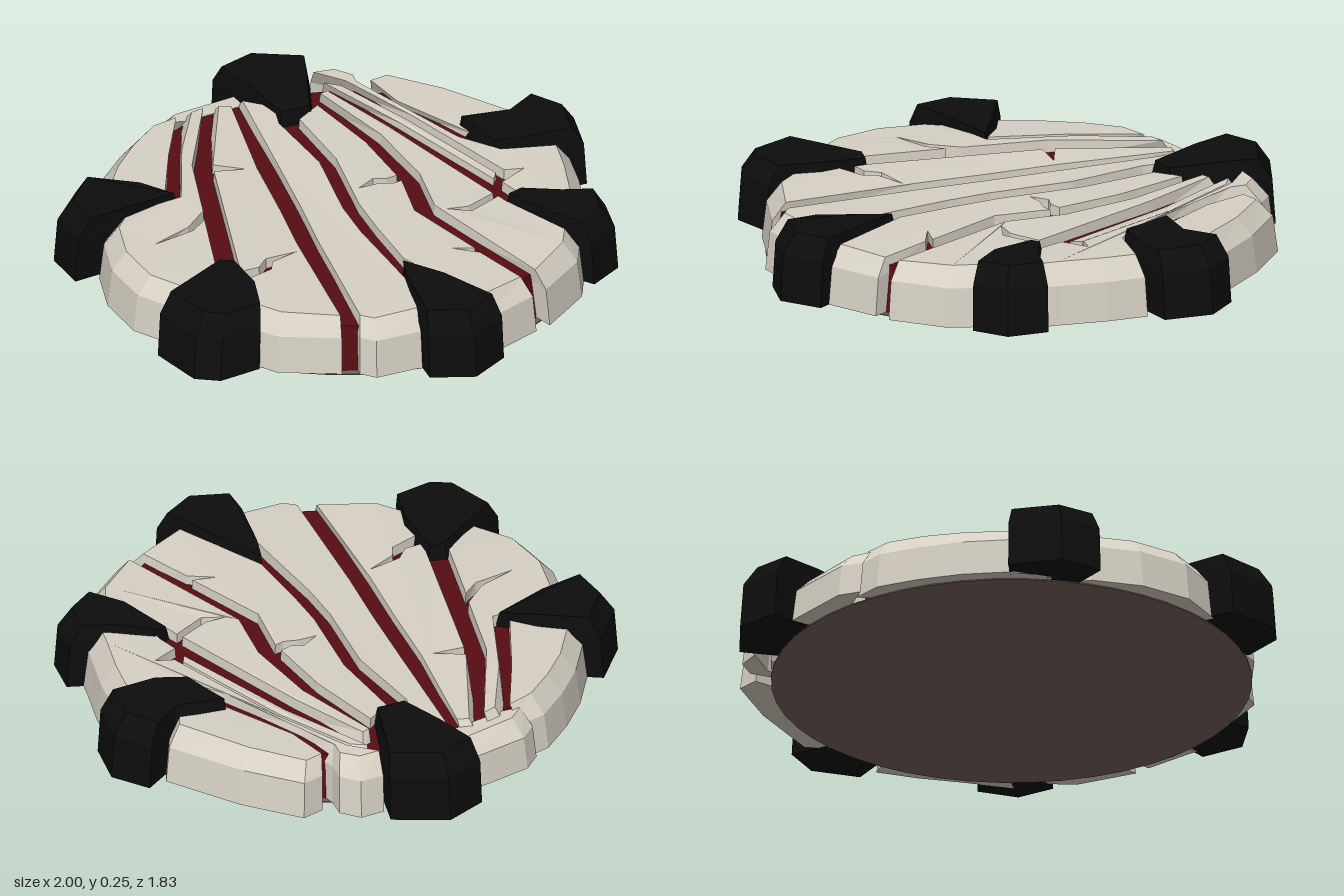
import * as THREE from 'three';

const mat = (name, color) => Object.assign(new THREE.MeshStandardMaterial({ color }), { name });

// Faceted stone from a plan outline (flat list of x, z pairs).
// The outer rim leans inward as it rises; inner edges get a narrow chamfer.
function stoneGeometry(flat, { height, rimLean, chamfer, shoulder, topRule }) {
  let outline = [];
  for (let i = 0; i < flat.length; i += 2) outline.push(new THREE.Vector2(flat[i], -flat[i + 1]));
  if (THREE.ShapeUtils.isClockWise(outline)) outline.reverse();
  const n = outline.length;

  const ring = (y, lean, inset) => outline.map((p, i) => {
    const a = outline[(i + n - 1) % n], b = outline[(i + 1) % n];
    const t = b.clone().sub(a).normalize();
    const rim = THREE.MathUtils.smoothstep(p.length(), 0.62, 0.8);
    const k = 1 - lean * rim;
    const x = p.x * k - t.y * inset, z = -(p.y * k + t.x * inset);
    return new THREE.Vector3(x, typeof y === 'function' ? y(x, z) : y, z);
  });
  const rings = [
    ring(0.004, 0, 0),
    ring(shoulder, rimLean * 0.25, 0),
    ring((x, z) => height + topRule(x, z), rimLean, chamfer),
  ];

  const pos = [];
  const tri = (...v) => v.forEach((p) => pos.push(p.x, p.y, p.z));
  for (let r = 0; r < 2; r++) {
    for (let i = 0; i < n; i++) {
      const j = (i + 1) % n, lo = rings[r], hi = rings[r + 1];
      tri(lo[i], lo[j], hi[j]);
      tri(lo[i], hi[j], hi[i]);
    }
  }
  // Caps, with the winding checked for each triangle
  const cap = (pts, up) => {
    const plan = pts.map((p) => new THREE.Vector2(p.x, -p.z));
    for (const [a, b, c] of THREE.ShapeUtils.triangulateShape(plan, [])) {
      const ccw = THREE.ShapeUtils.area([plan[a], plan[b], plan[c]]) > 0;
      if (ccw === up) tri(pts[a], pts[b], pts[c]);
      else tri(pts[a], pts[c], pts[b]);
    }
  };
  cap(rings[2], true);
  cap(rings[0], false);

  const g = new THREE.BufferGeometry();
  g.setAttribute('position', new THREE.Float32BufferAttribute(pos, 3));
  g.computeVertexNormals();
  return g;
}

export function createModel() {
  const model = new THREE.Group();
  model.name = 'crackedStoneDisc';
  const cream = mat('creamStone', 0xd6d0c4);
  const red = mat('darkRedCore', 0x560d12);
  const black = mat('blackRock', 0x0d0d0d);
  const brown = mat('brownBase', 0x75605a);

  const add = (name, geometry, material) => {
    const m = new THREE.Mesh(geometry, material);
    m.name = name;
    model.add(m);
    return m;
  };

  // Underside and the red core that shows through the gaps
  add('base', new THREE.CylinderGeometry(0.84, 0.84, 0.004, 48), brown).position.y = 0.002;
  add('core', new THREE.CylinderGeometry(0.79, 0.815, 0.166, 48), red).position.y = 0.087;

  // Pale slabs fanning out from the back, with cracks notched into their edges
  const slab = (name, height, pts) => add(name, stoneGeometry(pts, {
    height, rimLean: 0.075, chamfer: 0.005, shoulder: height * 0.68,
    topRule: (x, z) => 0.005 * Math.sin(9 * x + 5 * z),
  }), cream);

  slab('backChip', 0.18, [0.02, -0.9, 0.1, -0.92, 0.35, -0.84, 0.32, -0.76, 0.08, -0.85]);
  slab('backRightSlab', 0.2, [
    0.06, -0.87, -0.05, -0.9, -0.2, -0.87, -0.35, -0.82, -0.52, -0.73, -0.6, -0.62,
    -0.45, -0.5, -0.39, -0.48, -0.16, -0.68]);
  slab('rightSlab', 0.21, [
    0.11, -0.85, 0.17, -0.83, -0.17, -0.54, -0.38, -0.31, -0.5, -0.28, -0.7, -0.33,
    -0.5, -0.262, -0.42, -0.27, -0.62, -0.05, -0.87, -0.02, -0.89, -0.2, -0.82, -0.38,
    -0.7, -0.52, -0.6, -0.56, -0.36, -0.44, -0.12, -0.65]);
  slab('innerRightSlab', 0.205, [
    0.22, -0.81, 0.26, -0.77, -0.02, -0.37, -0.18, -0.13, -0.32, 0.07, -0.64, 0.54,
    -0.78, 0.36, -0.8, 0.22, -0.66, 0.12, -0.63, 0.09, -0.52, 0.11, -0.48, 0.08,
    -0.37, 0.1, -0.48, 0.06, -0.54, 0.08, -0.6, 0.05, -0.57, 0, -0.15, -0.47,
    -0.06, -0.4, -0.12, -0.5]);
  slab('frontRightSlab', 0.21, [
    0.3, -0.76, 0.33, -0.6, 0.25, -0.5, 0.14, -0.22, -0.04, 0.04, -0.12, 0.19,
    -0.22, 0.42, -0.3, 0.6, -0.42, 0.73, -0.58, 0.65, -0.6, 0.59, -0.27, 0.11,
    -0.13, -0.09, 0.03, -0.33]);
  slab('middleSlab', 0.205, [
    0.31, -0.47, 0.43, -0.48, 0.35, -0.19, 0.25, 0.04, 0.2, 0.03, 0.17, -0.005,
    0.1, -0.005, 0.16, 0.02, 0.2, 0.06, 0.235, 0.075, 0.11, 0.24, 0.06, 0.56,
    0, 0.5, 0.05, 0.59, 0.02, 0.87, -0.2, 0.85, -0.17, 0.42, -0.07, 0.21,
    0.01, 0.06, 0.19, -0.2]);
  slab('frontLeftSlab', 0.21, [
    0.51, -0.55, 0.56, -0.55, 0.48, -0.19, 0.38, 0.37, 0.25, 0.365, 0.19, 0.32,
    0.24, 0.385, 0.375, 0.39, 0.37, 0.43, 0.38, 0.78, 0.3, 0.84, 0.08, 0.88,
    0.17, 0.27, 0.3, 0.09, 0.41, -0.18]);
  slab('leftSliver', 0.2, [
    0.6, -0.61, 0.64, -0.55, 0.575, -0.19, 0.5, 0.28, 0.455, 0.3, 0.53, -0.19]);
  slab('leftSlab', 0.21, [
    0.62, -0.68, 0.7, -0.64, 0.72, -0.56, 0.68, -0.5, 0.62, -0.32, 0.59, 0.03,
    0.62, 0.2, 0.82, 0.36, 0.73, 0.48, 0.62, 0.6, 0.5, 0.74, 0.4, 0.5,
    0.43, 0.42, 0.45, 0.34, 0.57, 0.35, 0.51, 0.3, 0.585, -0.19, 0.655, -0.55]);
  slab('outerLeftSlab', 0.2, [
    0.74, -0.5, 0.82, -0.48, 0.88, -0.25, 0.91, 0.05, 0.84, 0.1, 0.64, 0.05, 0.68, -0.32]);

  // Black rocks gripping the rim, dipping toward their inner tips
  const rock = (name, pts) => add(name, stoneGeometry(pts, {
    height: 0.22, rimLean: 0.05, chamfer: 0.014, shoulder: 0.17,
    topRule: (x, z) => 0.025 * THREE.MathUtils.smoothstep(Math.hypot(x, z), 0.5, 0.72),
  }), black);

  rock('backLeftRock', [
    0.37, -0.92, 0.53, -0.9, 0.65, -0.73, 0.55, -0.62, 0.38, -0.46, 0.27, -0.52, 0.33, -0.75]);
  rock('backRightRock', [
    -0.53, -0.79, -0.71, -0.72, -0.77, -0.57, -0.6, -0.51, -0.37, -0.44, -0.42, -0.6]);
  rock('rightRock', [
    -0.96, -0.03, -0.62, -0.05, -0.57, 0, -0.66, 0.17, -0.8, 0.3, -0.95, 0.25, -1, 0.17]);
  rock('frontRightRock', [
    -0.18, 0.43, -0.17, 0.62, -0.19, 0.9, -0.35, 0.91, -0.46, 0.79, -0.4, 0.68, -0.27, 0.5]);
  rock('frontLeftRock', [
    0.37, 0.43, 0.44, 0.44, 0.54, 0.6, 0.62, 0.69, 0.53, 0.81, 0.39, 0.82, 0.36, 0.66]);
  rock('leftRock', [
    0.66, -0.03, 0.84, 0.08, 0.98, 0.07, 1, 0.22, 0.89, 0.36, 0.72, 0.28, 0.6, 0.18, 0.62, 0.08]);

  return model;
}
